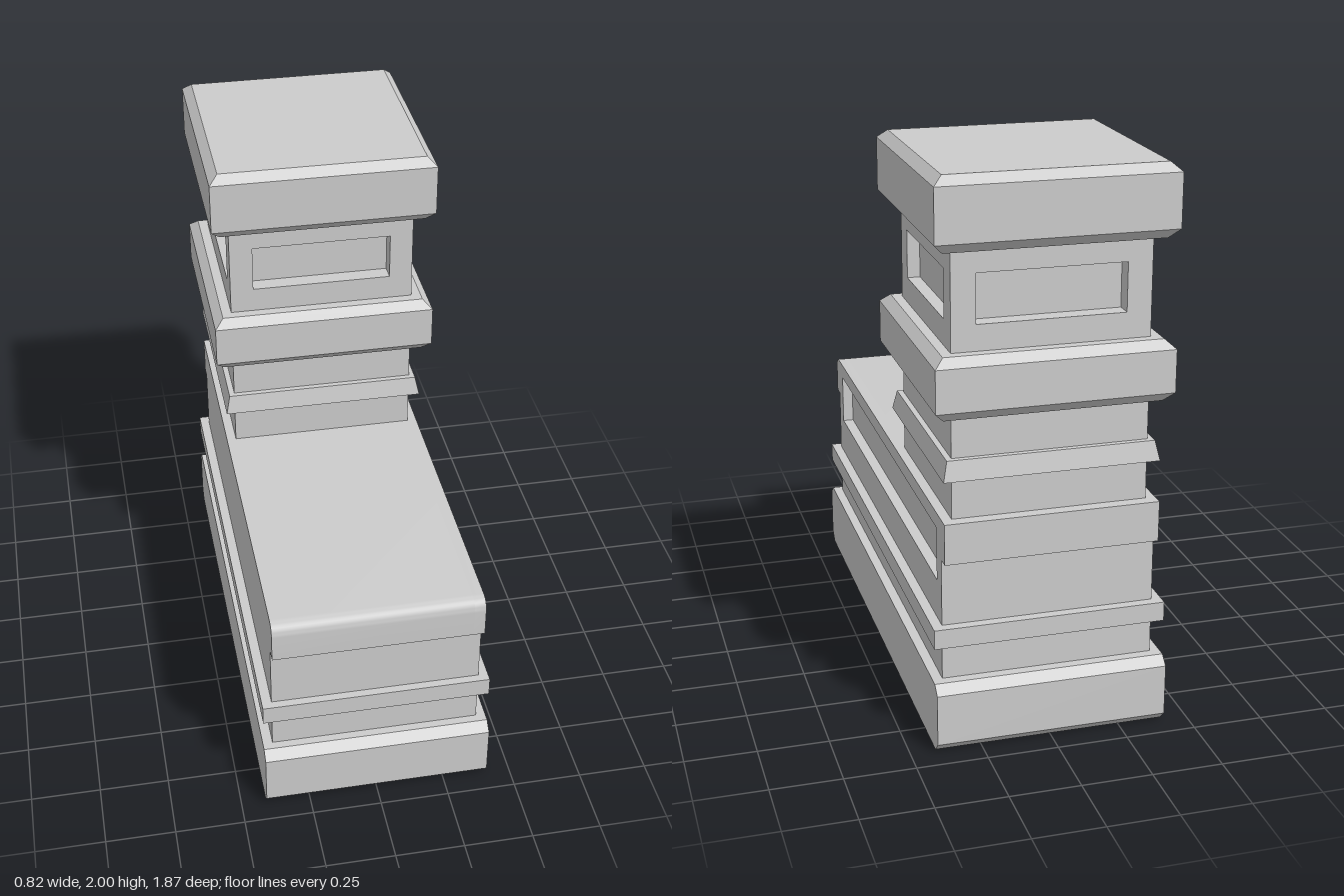
import * as THREE from 'three';
import { toCreasedNormals } from 'three/addons/utils/BufferGeometryUtils.js';

const CZ = -0.5275; // centre of the tower in z

export function createModel() {
  const model = new THREE.Group();
  const material = new THREE.MeshStandardMaterial({ color: 0xcccccc });

  const add = (name, geometry, parent = model) => {
    const mesh = new THREE.Mesh(toCreasedNormals(geometry, 0.6), material);
    mesh.name = name;
    parent.add(mesh);
    return mesh;
  };

  const box = (x0, x1, y0, y1, z0, z1) =>
    new THREE.BoxGeometry(x1 - x0, y1 - y0, z1 - z0)
      .translate((x0 + x1) / 2, (y0 + y1) / 2, (z0 + z1) / 2);

  const rect = (Type, x0, x1, y0, y1) =>
    new Type([[x0, y0], [x1, y0], [x1, y1], [x0, y1]].map(p => new THREE.Vector2(...p)));

  // Side outline (z, y) extruded across the model from x0 to x1
  const across = (shape, x0, x1) =>
    new THREE.ExtrudeGeometry(shape, { depth: x1 - x0, bevelEnabled: false, curveSegments: 8 })
      .rotateY(-Math.PI / 2).translate(x1, 0, 0);

  // Square tower ring with a [half width, y] profile
  const ring = profile => {
    const pts = [[0, profile[0][1]], ...profile, [0, profile.at(-1)[1]]]
      .map(([r, y]) => new THREE.Vector2(r * Math.SQRT2, y));
    return new THREE.LatheGeometry(pts, 4, Math.PI / 4).translate(0, 0, CZ);
  };

  // Plinth, chamfered at front and back only
  const plinth = new THREE.Shape([
    [-0.9, 0], [0.9, 0], [0.935, 0.035], [0.935, 0.22],
    [0.9, 0.25], [-0.9, 0.25], [-0.935, 0.22], [-0.935, 0.035],
  ].map(p => new THREE.Vector2(...p)));
  add('plinth', across(plinth, -0.41, 0.41));
  add('baseBand', box(-0.41, 0.41, 0.38, 0.45, -0.9, 0.9));

  // Long lower body with a rounded front lip and a square back lip
  const bodyOutline = () => {
    const s = new THREE.Shape();
    s.moveTo(-0.865, 0.25);
    s.lineTo(0.87, 0.25);
    s.lineTo(0.87, 0.69);
    s.lineTo(0.915, 0.69);
    s.lineTo(0.915, 0.79);
    s.quadraticCurveTo(0.915, 0.835, 0.87, 0.835);
    s.lineTo(-0.91, 0.835);
    s.lineTo(-0.91, 0.69);
    s.lineTo(-0.865, 0.69);
    s.closePath();
    return s;
  };
  add('body', across(bodyOutline(), -0.375, 0.335));
  // Left face of the body carries a long sunken panel
  const panelled = bodyOutline();
  panelled.holes.push(rect(THREE.Path, -0.8, 0.8, 0.59, 0.78));
  add('bodyPanelFrame', across(panelled, 0.335, 0.375));

  // Tower shaft, collars and cap
  const h = 0.34;
  add('shaft', box(-h, h, 0.83, 1.42, CZ - h, CZ + h));
  add('flaredCollar', ring([[0.375, 0.98], [0.36, 1.05]]));
  const chamfered = (y0, y1) =>
    ring([[0.375, y0], [0.408, y0 + 0.035], [0.408, y1 - 0.03], [0.375, y1]]);
  add('middleCollar', chamfered(1.195, 1.41));
  add('cap', chamfered(1.75, 2));

  // Upper shaft with a sunken window on each face
  const windows = new THREE.Group();
  windows.name = 'windowSection';
  model.add(windows);
  const dz = 0.06, dx = 0.045;
  add('windowCore', box(-h + dx, h - dx, 1.4, 1.76, CZ - h + dz, CZ + h - dz), windows);
  const frame = (half, depth) => {
    const s = rect(THREE.Shape, -half, half, 1.4, 1.76);
    s.holes.push(rect(THREE.Path, -0.255, 0.255, 1.5, 1.67));
    return new THREE.ExtrudeGeometry(s, { depth, bevelEnabled: false }).translate(0, 0, h - depth);
  };
  for (let i = 0; i < 4; i++) {
    const side = i % 2 === 1;
    const g = side ? frame(h - dz, dx) : frame(h, dz);
    add('windowFrame', g.rotateY(i * Math.PI / 2).translate(0, 0, CZ), windows);
  }

  return model;
}
